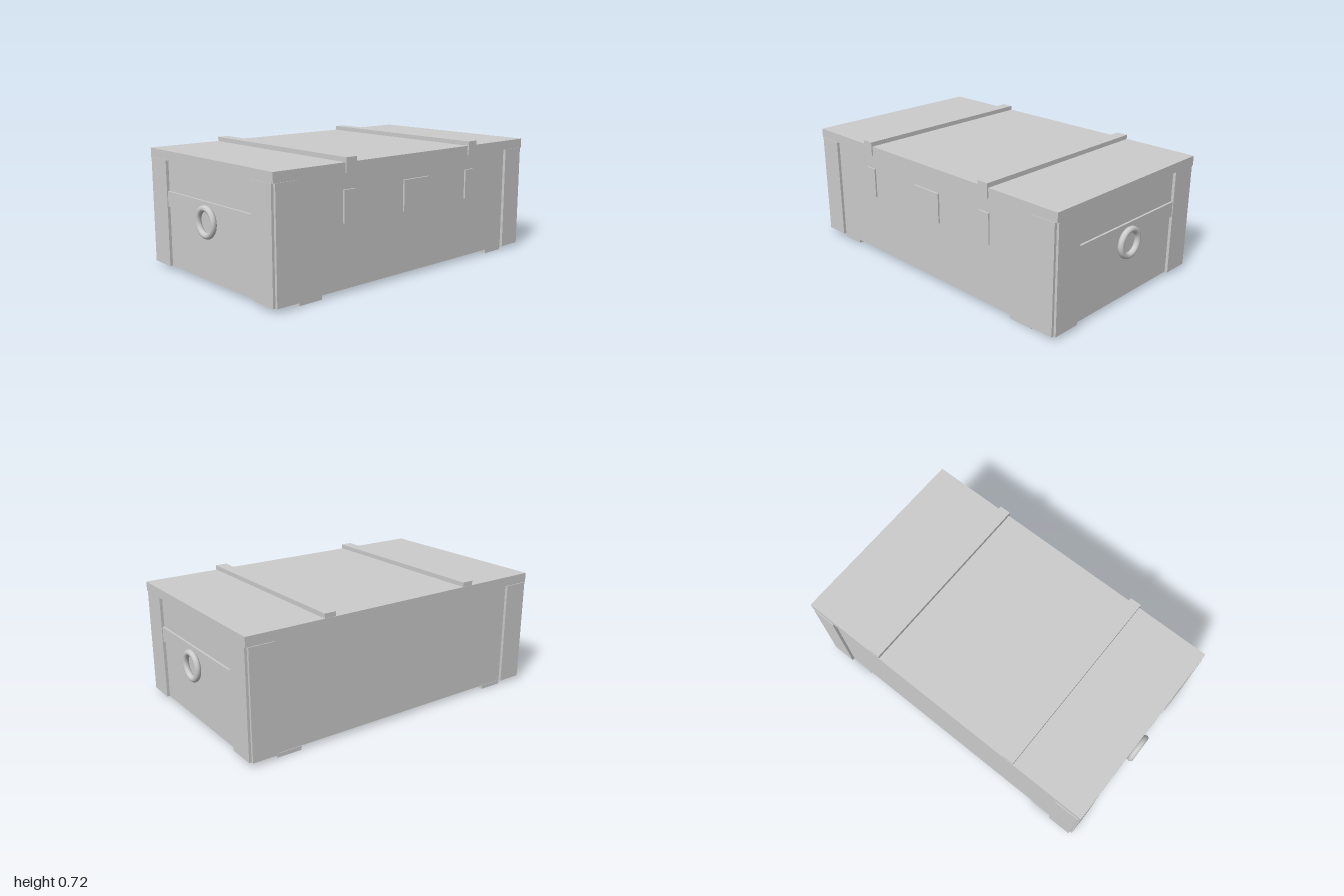
import * as THREE from 'three';

export function createModel() {
  const model = new THREE.Group();
  model.name = 'storageCrate';
  const material = new THREE.MeshStandardMaterial({ color: 0xcccccc });

  // Box given by its min and max on each axis
  function box(name, [x0, x1], [y0, y1], [z0, z1], parent = model) {
    const mesh = new THREE.Mesh(new THREE.BoxGeometry(x1 - x0, y1 - y0, z1 - z0), material);
    mesh.position.set((x0 + x1) / 2, (y0 + y1) / 2, (z0 + z1) / 2);
    mesh.name = name;
    parent.add(mesh);
    return mesh;
  }
  // Range along an axis, mirrored when s is -1
  const span = (s, a, b) => (s > 0 ? [a, b] : [-b, -a]);

  const floor = 0.023, rim = 0.637, cx = -0.004;

  // Body and lid
  box('body', [cx - 0.571, cx + 0.571], [floor, rim], [-0.955, 0.955]);
  box('lid', [-0.587, 0.581], [rim, 0.692], [-0.972, 0.969]);

  // Lid battens, lapping over the latch side of the lid
  for (const s of [1, -1]) {
    const z = span(s, 0.445, 0.515);
    box('lidBatten', [-0.585, 0.581], [0.692, 0.718], z);
    box('lidBattenEnd', [0.581, 0.589], [rim, 0.718], z);
  }

  // Ends: corner boards, cross rail, ring handle
  for (const s of [1, -1]) {
    const end = new THREE.Group();
    end.name = s > 0 ? 'frontEnd' : 'backEnd';
    model.add(end);
    const boardZ = span(s, 0.955, 0.972);
    box('endCornerBoard', [-0.577, -0.415], [floor, rim], boardZ, end);
    box('endCornerBoard', [0.405, 0.569], [floor, rim], boardZ, end);
    box('crossRail', [-0.415, 0.405], [0.373, 0.461], span(s, 0.955, 0.967), end);
    const ring = new THREE.Mesh(new THREE.TorusGeometry(0.074, 0.0175, 16, 48), material);
    ring.name = 'ringHandle';
    ring.position.set(0.003, 0.355, s * 0.9825);
    end.add(ring);
  }

  // Sides: corner boards at both ends
  for (const sx of [1, -1]) {
    for (const sz of [1, -1]) {
      const x = sx > 0 ? [0.567, 0.584] : [-0.592, -0.575];
      box('sideCornerBoard', x, [floor, rim], span(sz, 0.81, 0.958));
    }
  }

  // Latch plates on the left side
  for (const z of [[0.445, 0.52], [-0.12, 0.08], [-0.51, -0.437]]) {
    box('latchPlate', [0.567, 0.577], [0.375, 0.55], z);
  }

  // Skids under the floor
  for (const s of [1, -1]) {
    box('skid', [-0.577, 0.567], [0, floor], span(s, 0.663, 0.808));
  }
  return model;
}
